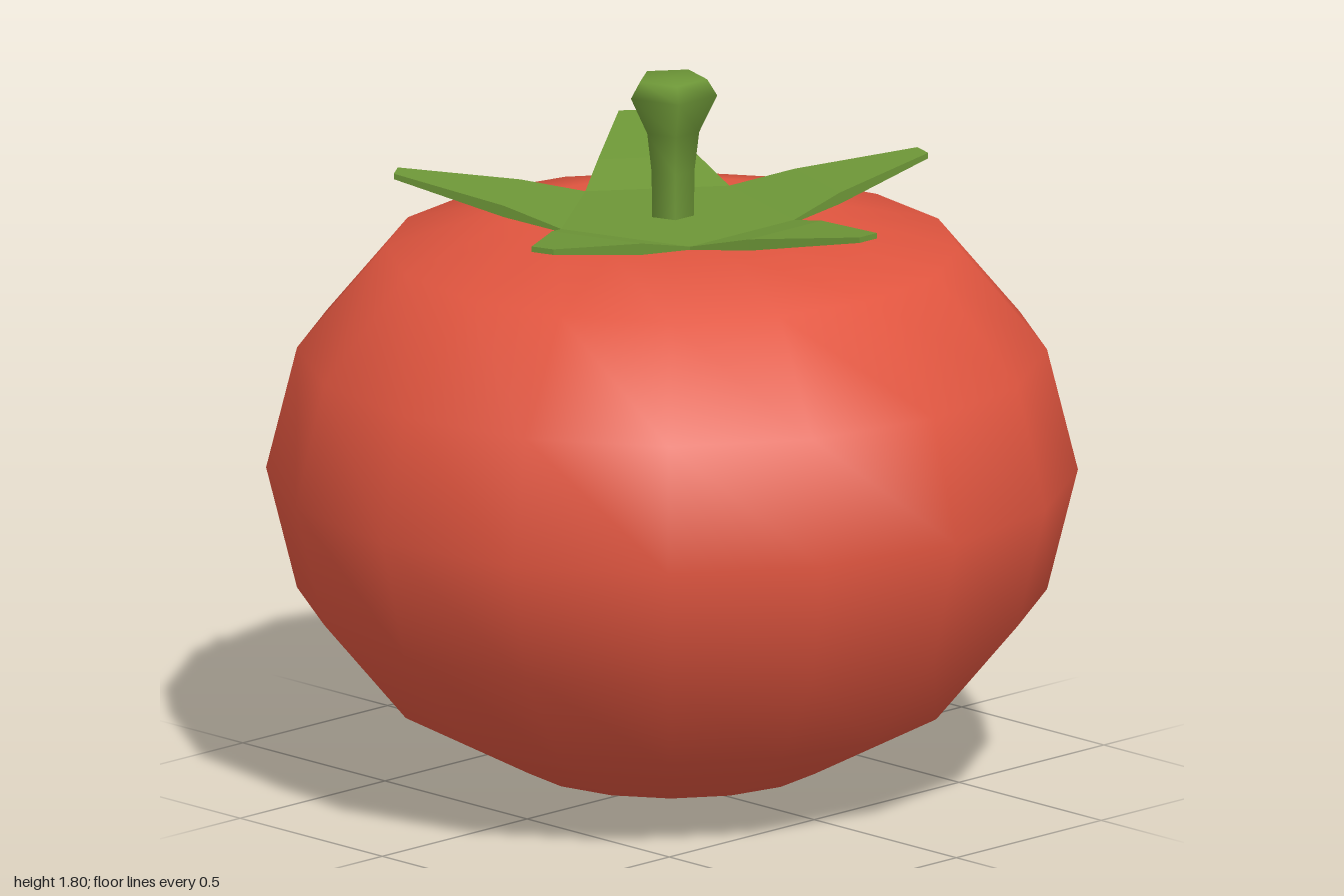
import * as THREE from 'three';

const red = new THREE.MeshStandardMaterial({ color: 0xe0553f });
red.name = 'tomato red';
const green = new THREE.MeshStandardMaterial({ color: 0x6d9637 });
green.name = 'leaf green';

// Smooth turned form from [radius, height] pairs, bottom to top
function turned(name, profile, sides, start, material) {
  const points = profile.map(([r, y]) => new THREE.Vector2(r, y));
  const mesh = new THREE.Mesh(new THREE.LatheGeometry(points, sides, start), material);
  mesh.name = name;
  return mesh;
}

// Five-pointed crown of faceted leaves around a flat middle
function calyxGeometry() {
  const positions = [];
  const up = new THREE.Vector3(0, 1, 0);
  const notch = 0.305;
  // Leaf stations: half width, distance out, top height, underside height
  const stations = [
    [notch * Math.sin(Math.PI / 5), notch * Math.cos(Math.PI / 5), 1.456, 1.448],
    [0.125, 0.4, 1.494, 1.465],
    [0.03, 0.69, 1.537, 1.523],
  ];
  for (let k = 0; k < 5; k++) {
    const angle = (k * Math.PI * 2) / 5;
    const put = (x, y, z) => new THREE.Vector3(x, y, z).applyAxisAngle(up, angle);
    const tri = (...corners) => corners.forEach((p) => positions.push(p.x, p.y, p.z));
    const quad = (a, b, c, d) => { tri(a, b, c); tri(a, c, d); };
    const rows = stations.map(([w, z, top, low]) => ({
      tl: put(-w, top, z), tr: put(w, top, z),
      bl: put(-w, low, z), br: put(w, low, z),
    }));
    // Middle, above and below
    tri(put(0, 1.456, 0), rows[0].tl, rows[0].tr);
    tri(put(0, 1.44, 0), rows[0].br, rows[0].bl);
    // Leaf skin
    for (let i = 0; i < 2; i++) {
      const a = rows[i], b = rows[i + 1];
      quad(a.tl, b.tl, b.tr, a.tr);
      quad(a.bl, a.br, b.br, b.bl);
      quad(a.tl, a.bl, b.bl, b.tl);
      quad(a.tr, b.tr, b.br, a.br);
    }
    // Blunt tip
    const t = rows[2];
    quad(t.tl, t.bl, t.br, t.tr);
  }
  const geometry = new THREE.BufferGeometry();
  geometry.setAttribute('position', new THREE.Float32BufferAttribute(positions, 3));
  geometry.computeVertexNormals();
  return geometry;
}

export function createModel() {
  const group = new THREE.Group();
  group.name = 'tomato';

  // Squashed sphere with a sunken top
  const body = [];
  for (let i = 0; i <= 8; i++) {
    const t = (i * Math.PI) / 8;
    const y = i === 7 ? 1.45 : i === 8 ? 1.41 : 0.808 - 0.8 * Math.cos(t);
    body.push([i % 8 ? Math.sin(t) : 0, y]);
  }
  group.add(turned('body', body, 16, 0, red));

  const calyx = new THREE.Mesh(calyxGeometry(), green);
  calyx.name = 'calyx';
  group.add(calyx);

  // Five-sided stem flaring to a knob
  group.add(turned('stem', [
    [0.055, 1.44], [0.056, 1.57], [0.068, 1.67],
    [0.113, 1.765], [0.088, 1.805], [0, 1.805],
  ], 5, Math.PI, green));

  return group;
}
